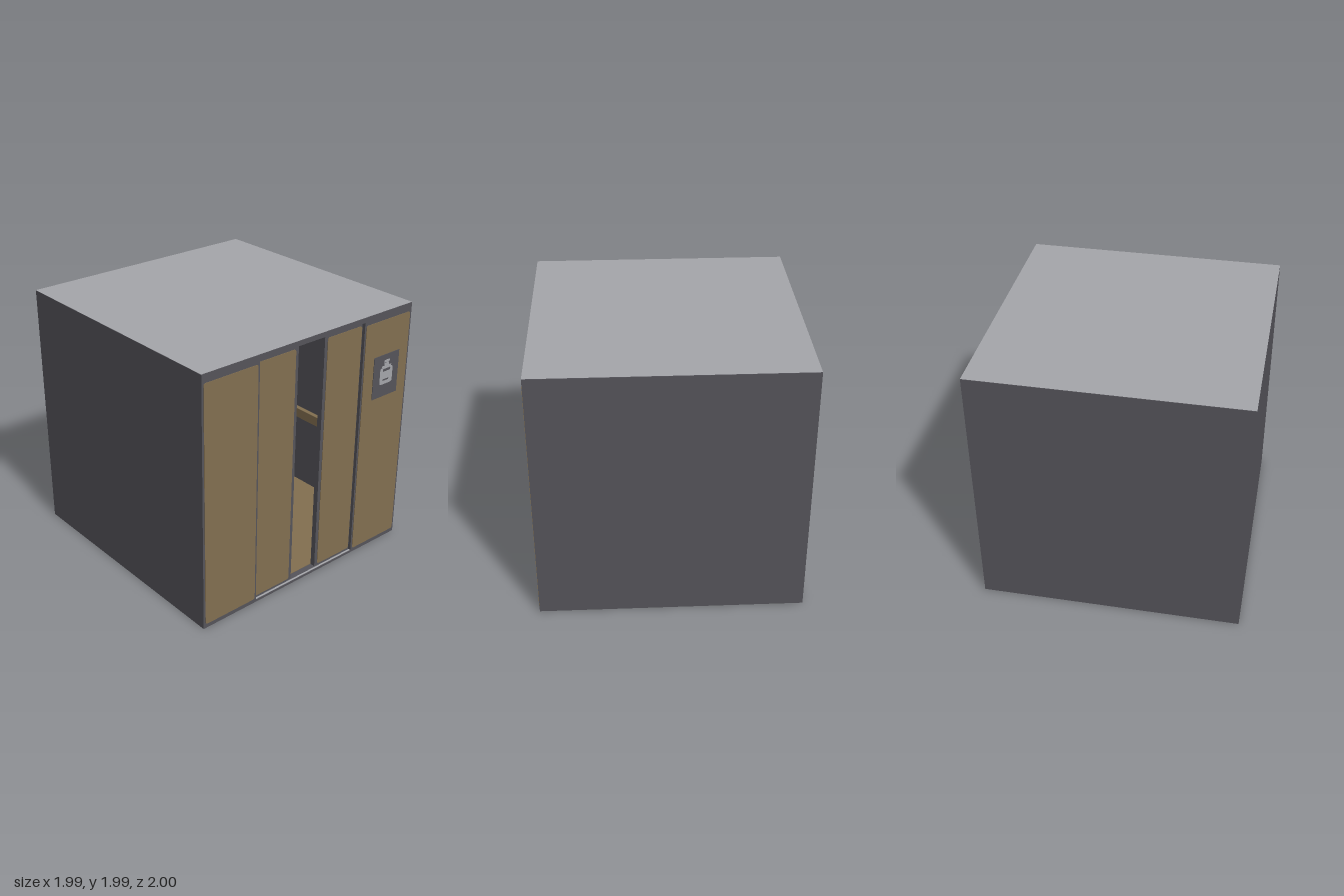
import * as THREE from 'three';

const mat = (name, color) => {
  const m = new THREE.MeshStandardMaterial({ color });
  m.name = name;
  return m;
};

export function createModel() {
  const steel = mat('dark steel', 0x55545a);
  const wood = mat('brown panel', 0x826f50);
  const light = mat('light grey', 0xa5a6aa);

  const model = new THREE.Group();
  model.name = 'elevatorCabin';

  // Box given by its lower and upper corners
  const box = (name, material, [x0, y0, z0], [x1, y1, z1], parent = model) => {
    const mesh = new THREE.Mesh(new THREE.BoxGeometry(x1 - x0, y1 - y0, z1 - z0), material);
    mesh.position.set((x0 + x1) / 2, (y0 + y1) / 2, (z0 + z1) / 2);
    mesh.name = name;
    parent.add(mesh);
    return mesh;
  };

  // Thin plate with rounded corners, its back lying on z
  const plate = (name, material, x0, y0, x1, y1, z, r, depth = 0.004, parent = model) => {
    const s = new THREE.Shape();
    s.moveTo(x0 + r, y0);
    s.lineTo(x1 - r, y0);
    s.absarc(x1 - r, y0 + r, r, -Math.PI / 2, 0);
    s.absarc(x1 - r, y1 - r, r, 0, Math.PI / 2);
    s.absarc(x0 + r, y1 - r, r, Math.PI / 2, Math.PI);
    s.absarc(x0 + r, y0 + r, r, Math.PI, Math.PI * 1.5);
    const geo = new THREE.ExtrudeGeometry(s, { depth, bevelEnabled: false, curveSegments: 4 });
    const mesh = new THREE.Mesh(geo, material);
    mesh.position.z = z;
    mesh.name = name;
    parent.add(mesh);
  };

  const W = 0.994, H = 1.99, F = 0.99, B = -0.996, T = 0.04;

  // Shell
  box('base', steel, [-W, 0, B], [W, 0.018, F]);
  box('ceiling', steel, [-W, 1.95, B], [W, H - 0.003, F]);
  box('backWall', steel, [-W, 0.018, B], [W, 1.95, B + T]);
  const roof = new THREE.Mesh(new THREE.PlaneGeometry(2 * W, F - B), light);
  roof.rotation.x = -Math.PI / 2;
  roof.position.set(0, H, (F + B) / 2);
  roof.name = 'roof';
  model.add(roof);

  // Cabin floor and door sill
  box('floor', wood, [-W + T, 0.018, B + T], [W - T, 0.022, 0.92]);
  box('doorSill', light, [-0.5, 0.018, 0.972], [0.5, 0.021, 0.986]);

  // Side walls, fixed front panels, sliding doors and side rails
  for (const [side, s] of [['right', -1], ['left', 1]]) {
    const span = (a, b) => (s > 0 ? [a, b] : [-b, -a]);
    const slab = (name, material, a, b, y0, y1, z0, z1) => {
      const [x0, x1] = span(a, b);
      box(side + name, material, [x0, y0, z0], [x1, y1, z1]);
    };
    slab('Wall', steel, W - T, W, 0.018, 1.95, B + T, F);
    slab('FrontFrame', steel, 0.5, W - T, 0.018, 1.95, 0.93, F);
    slab('Door', steel, 0.125, 0.52, 0.022, 1.95, 0.925, 0.965);
    slab('Handrail', wood, W - T - 0.04, W - T, 0.65, 0.73, B + T, 0.9);

    const [p0, p1] = span(0.515, 0.978);
    plate(side + 'FrontPanel', wood, p0, 0.035, p1, 1.922, F, 0.018);
    const [d0, d1] = span(0.152, 0.494);
    plate(side + 'DoorPanel', wood, d0, 0.035, d1, 1.922, 0.965, 0.018);
  }
  box('backHandrail', wood, [-W + T, 0.65, B + T], [W - T, 0.73, B + T + 0.04]);

  // Ceiling lamp dome
  const lamp = new THREE.Mesh(
    new THREE.SphereGeometry(0.14, 32, 10, 0, Math.PI * 2, Math.PI / 2, Math.PI / 2), light);
  lamp.scale.y = 0.5;
  lamp.position.set(0, 1.95, 0);
  lamp.name = 'ceilingLamp';
  model.add(lamp);

  // Notice board with a bottle pictogram
  const notice = new THREE.Group();
  notice.name = 'notice';
  model.add(notice);
  box('noticeBoard', steel, [0.617, 1.305, F], [0.884, 1.645, 0.998], notice);
  const icon = (name, m, x0, y0, x1, y1, r, z = 0.998) =>
    plate(name, m, x0, y0, x1, y1, z, r, 0.001, notice);
  icon('bottleBody', light, 0.688, 1.405, 0.822, 1.54, 0.018);
  icon('bottleShoulder', light, 0.705, 1.541, 0.805, 1.555, 0.005);
  icon('bottleNeck', light, 0.73, 1.556, 0.778, 1.575, 0.003);
  icon('bottleCap', light, 0.728, 1.578, 0.784, 1.6, 0.006);
  icon('bottleBandTop', steel, 0.715, 1.51, 0.795, 1.53, 0.004, 0.9992);
  icon('bottleBandBottom', steel, 0.718, 1.435, 0.782, 1.447, 0.004, 0.9992);

  return model;
}
